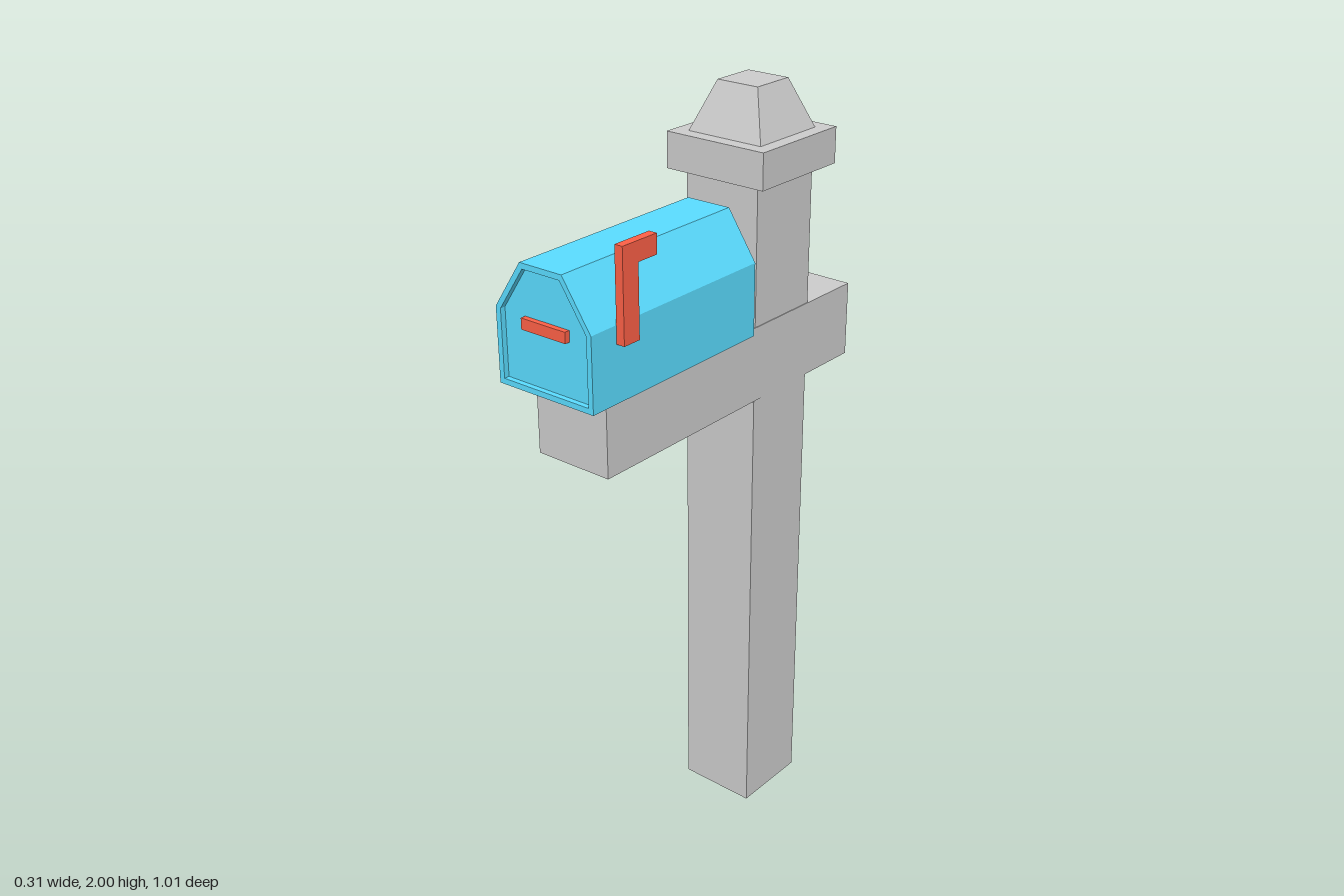
import * as THREE from 'three';

const grey = new THREE.MeshStandardMaterial({ color: 0xcccccc, flatShading: true });
const blue = new THREE.MeshStandardMaterial({ color: 0x5adcff, flatShading: true });
const red = new THREE.MeshStandardMaterial({ color: 0xfc6046, flatShading: true });

function add(parent, name, geometry, material) {
  const mesh = new THREE.Mesh(geometry, material);
  mesh.name = name;
  parent.add(mesh);
  return mesh;
}

// Box given by its lower and upper corner
function block([x0, y0, z0], [x1, y1, z1]) {
  return new THREE.BoxGeometry(x1 - x0, y1 - y0, z1 - z0)
    .translate((x0 + x1) / 2, (y0 + y1) / 2, (z0 + z1) / 2);
}

function extrude(shape, depth) {
  return new THREE.ExtrudeGeometry(shape, { depth, bevelEnabled: false });
}

// Mailbox cross-section with chamfered shoulders, centred on x = 0
function profile(halfWidth, halfTop, bottom, shoulder, top) {
  return [
    [-halfWidth, bottom], [halfWidth, bottom], [halfWidth, shoulder],
    [halfTop, top], [-halfTop, top], [-halfWidth, shoulder],
  ].map(([x, y]) => new THREE.Vector2(x, y));
}

export function createModel() {
  const model = new THREE.Group();
  model.name = 'mailboxOnPost';

  // Post with a square collar and a tapered finial
  add(model, 'post', block([-0.12, 0, -0.33], [0.093, 1.8, -0.115]), grey);
  add(model, 'collar', block([-0.157, 1.79, -0.372], [0.13, 1.88, -0.085]), grey);
  const finial = new THREE.CylinderGeometry(0.059 * Math.SQRT2, 0.107 * Math.SQRT2, 0.12, 4)
    .rotateY(Math.PI / 4);
  add(model, 'finial', finial, grey).position.set(-0.0125, 1.94, -0.228);

  // Cross arm under the mailbox
  add(model, 'crossArm', block([-0.118, 1.24, -0.507], [0.095, 1.435, 0.425]), grey);

  // Mailbox, turned very slightly on the arm
  const mailbox = new THREE.Group();
  mailbox.name = 'mailbox';
  mailbox.position.set(-0.011, 0, 0.22);
  mailbox.rotation.y = 0.008;
  model.add(mailbox);

  const outline = profile(0.14, 0.061, 1.438, 1.622, 1.74);
  add(mailbox, 'mailboxBody', extrude(new THREE.Shape(outline), 0.557), blue)
    .position.z = -0.285;

  // Raised rim around the recessed door
  const rim = new THREE.Shape(outline);
  rim.holes.push(new THREE.Path(profile(0.126, 0.054, 1.452, 1.619, 1.726).reverse()));
  add(mailbox, 'doorRim', extrude(rim, 0.014), blue).position.z = 0.272;

  add(mailbox, 'doorHandle', block([-0.065, 1.585, 0.265], [0.065, 1.612, 0.286]), red);

  // Signal flag on the left side
  const flag = new THREE.Shape([
    [0.375, 1.578], [0.425, 1.578], [0.425, 1.803],
    [0.315, 1.803], [0.315, 1.755], [0.375, 1.755],
  ].map(([z, y]) => new THREE.Vector2(z, y)));
  add(model, 'signalFlag', extrude(flag, 0.022).rotateY(-Math.PI / 2), red).position.x = 0.153;

  return model;
}
